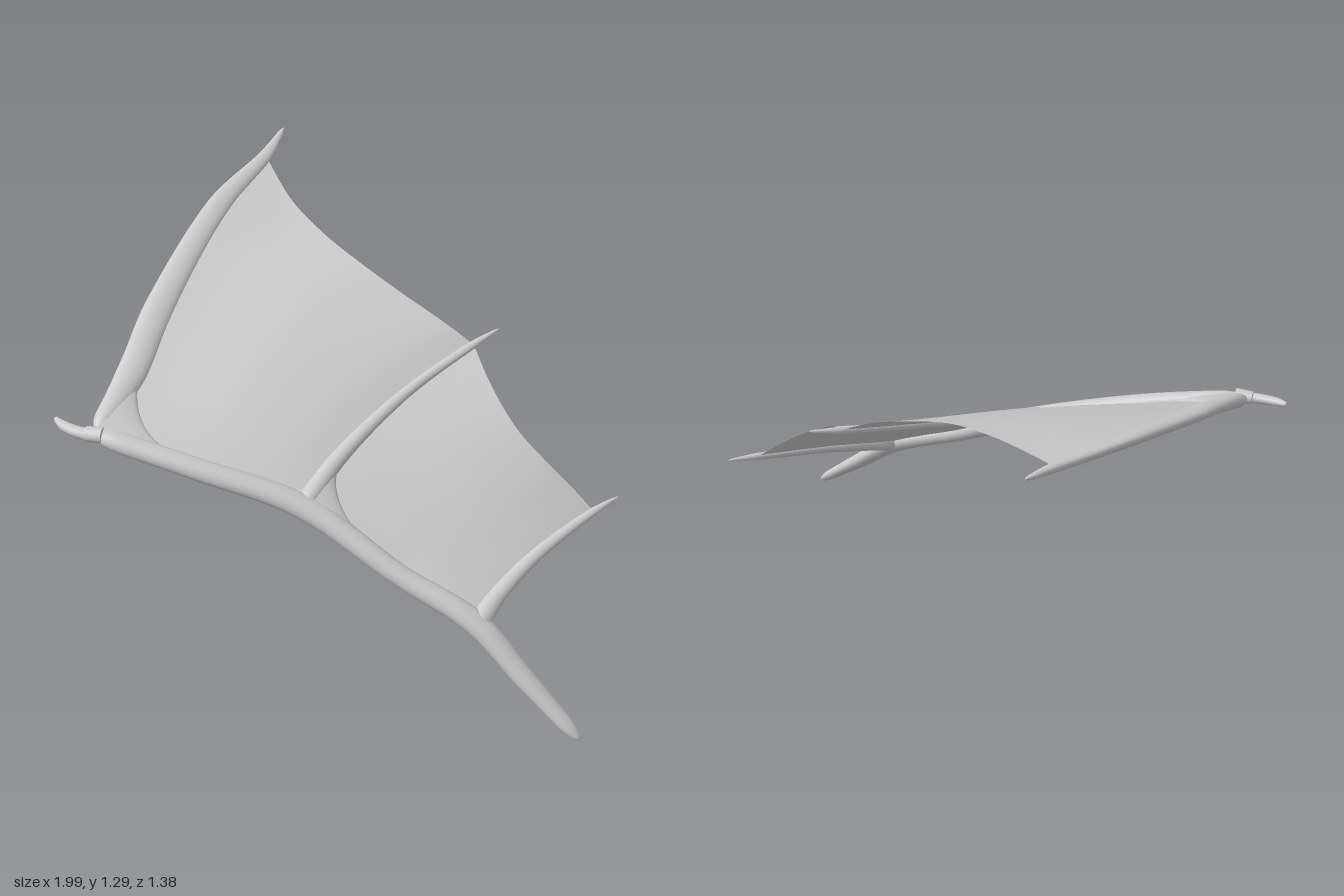
import * as THREE from 'three';
import { mergeVertices } from 'three/addons/utils/BufferGeometryUtils.js';

const V = (x, y, z) => new THREE.Vector3(x, y, z);
const WING_NORMAL = V(0.5, 0.83, 0.2).normalize();

// Smooth mesh over a grid of points given by fn(u, v)
function surface(name, nu, nv, fn, side = THREE.FrontSide) {
  const positions = [], index = [];
  for (let i = 0; i <= nu; i++)
    for (let j = 0; j <= nv; j++) positions.push(...fn(i / nu, j / nv).toArray());
  for (let i = 0; i < nu; i++)
    for (let j = 0; j < nv; j++) {
      const a = i * (nv + 1) + j, b = a + nv + 1;
      index.push(a, b, a + 1, b, b + 1, a + 1);
    }
  let geometry = new THREE.BufferGeometry();
  geometry.setAttribute('position', new THREE.Float32BufferAttribute(positions, 3));
  geometry.setIndex(index);
  geometry = mergeVertices(geometry, 1e-5);
  geometry.computeVertexNormals();
  const mesh = new THREE.Mesh(geometry, new THREE.MeshStandardMaterial({ color: 0xcccccc, side }));
  mesh.name = name;
  return mesh;
}

const spline = (points) => new THREE.CatmullRomCurve3(points.map((p) => V(p[0], p[1], p[2])));

// Tapered bone with an oval section; each point is [x, y, z, half width, half thickness]
function limb(name, points) {
  const curve = spline(points);
  const size = (t) => {
    const f = t * (points.length - 1), i = Math.min(Math.floor(f), points.length - 2);
    const mix = (k) => THREE.MathUtils.lerp(points[i][k], points[i + 1][k], f - i);
    const end = Math.min(1, Math.min(t, 1 - t) / 0.05);
    const round = Math.sqrt(Math.max(0, 1 - (1 - end) ** 2));
    return [mix(3) * round, mix(4) * round];
  };
  return surface(name, 64, 20, (u, v) => {
    // ease the samples so both ends are finely rounded
    const t = (1 - Math.cos(Math.PI * u)) / 2;
    const tangent = curve.getTangent(t);
    const wide = tangent.clone().cross(WING_NORMAL).normalize();
    const thick = wide.clone().cross(tangent);
    const [w, h] = size(t), a = (v % 1) * Math.PI * 2;
    return curve.getPoint(t).addScaledVector(wide, w * Math.cos(a)).addScaledVector(thick, h * Math.sin(a));
  });
}

// Patch blended between four edge curves
function patch(arm, trail, left, right) {
  const [c00, c10, c01, c11] = [arm(0), arm(1), trail(0), trail(1)];
  return (u, v) => V(0, 0, 0)
    .addScaledVector(arm(u), 1 - v).addScaledVector(trail(u), v)
    .addScaledVector(left(v), 1 - u).addScaledVector(right(v), u)
    .addScaledVector(c00, -(1 - u) * (1 - v)).addScaledVector(c10, -u * (1 - v))
    .addScaledVector(c01, -(1 - u) * v).addScaledVector(c11, -u * v);
}

// Thick rounded flesh filling the corner of a patch, reaching a along u and b along v
function cornerWeb(name, fn, a, b, thickness, fromRight = false) {
  return surface(name, 20, 16, (t, s) => {
    const k = Math.sin(Math.PI * s);
    const u = k * a * (1 - t) ** 2, v = k * b * t ** 2;
    return fn(fromRight ? 1 - u : u, v).addScaledVector(WING_NORMAL, thickness * Math.cos(Math.PI * s));
  }, THREE.DoubleSide);
}

export function createModel() {
  const wing = new THREE.Group();
  wing.name = 'wing';

  // Bones: the membrane ends at the second last point of each finger
  const armPoints = [
    [-0.44, 0.8, 0.625, 0.035, 0.026], [-0.17, 0.715, 0.435, 0.038, 0.03],
    [0.1, 0.61, 0.225, 0.042, 0.032], [0.4, 0.44, 0.09, 0.036, 0.032],
    [0.63, 0.32, -0.025, 0.042, 0.032], [0.8, 0.175, -0.075, 0.036, 0.026],
    [0.99, 0.012, -0.135, 0.024, 0.016]];
  const leadingPoints = [
    [-0.44, 0.8, 0.61, 0.03, 0.024], [-0.53, 0.89, 0.4, 0.05, 0.024],
    [-0.66, 1.0, 0.18, 0.05, 0.021], [-0.86, 1.175, -0.25, 0.04, 0.018],
    [-0.94, 1.25, -0.53, 0.024, 0.014], [-1, 1.3, -0.67, 0.007, 0.006]];
  const middlePoints = [
    [0.1, 0.61, 0.225, 0.034, 0.028], [0.06, 0.695, 0.03, 0.027, 0.021],
    [0.036, 0.795, -0.28, 0.019, 0.016], [0.053, 0.873, -0.58, 0.014, 0.012],
    [0.067, 0.9, -0.685, 0.004, 0.004]];
  const rearPoints = [
    [0.635, 0.32, -0.025, 0.036, 0.03], [0.612, 0.365, -0.14, 0.028, 0.022],
    [0.602, 0.425, -0.32, 0.022, 0.017], [0.615, 0.483, -0.58, 0.014, 0.012],
    [0.628, 0.5, -0.685, 0.004, 0.004]];
  wing.add(
    limb('armBone', armPoints), limb('leadingFinger', leadingPoints),
    limb('middleFinger', middlePoints), limb('rearFinger', rearPoints),
    limb('thumbCollar', [[-0.41, 0.8, 0.61, 0.026, 0.024], [-0.458, 0.8, 0.643, 0.026, 0.02]]),
    limb('thumbClaw', [
      [-0.42, 0.797, 0.62, 0.022, 0.018], [-0.48, 0.802, 0.657, 0.02, 0.016],
      [-0.53, 0.81, 0.674, 0.017, 0.014], [-0.572, 0.82, 0.676, 0.007, 0.007]]));

  // Edge curves shared by the bones and the membranes
  const arm = spline(armPoints);
  const armSpan = (from, to) => (u) => arm.getPoint((from + (to - from) * u) / (armPoints.length - 1));
  const finger = (points) => {
    const curve = spline(points);
    return (v) => curve.getPoint((v * (points.length - 2)) / (points.length - 1));
  };
  const leading = finger(leadingPoints), middle = finger(middlePoints), rear = finger(rearPoints);
  const trailing = (left, mids, right) => {
    const curve = spline([left(1).toArray(), ...mids, right(1).toArray()]);
    return (u) => curve.getPoint(u);
  };

  // Membranes with scalloped trailing edges
  const outer = patch(armSpan(0, 2), trailing(leading, [
    [-0.73, 1.165, -0.47], [-0.54, 1.11, -0.45], [-0.36, 1.06, -0.457],
    [-0.2, 1.0, -0.49], [-0.04, 0.93, -0.54]], middle), leading, middle);
  const inner = patch(armSpan(2, 4), trailing(middle, [
    [0.16, 0.815, -0.535], [0.26, 0.755, -0.507], [0.35, 0.695, -0.5],
    [0.45, 0.625, -0.52], [0.54, 0.55, -0.555]], rear), middle, rear);
  wing.add(
    surface('outerMembrane', 40, 30, outer, THREE.DoubleSide),
    surface('innerMembrane', 40, 30, inner, THREE.DoubleSide));

  // Fleshy webs where the fingers join the arm
  const heel = (u, v) => armSpan(4, 6)(u).add(rear(v)).sub(rear(0));
  wing.add(
    cornerWeb('wristWeb', outer, 0.6, 0.45, 0.022),
    cornerWeb('middleOuterWeb', outer, 0.3, 0.25, 0.02, true),
    cornerWeb('middleInnerWeb', inner, 0.6, 0.45, 0.022),
    cornerWeb('rearInnerWeb', inner, 0.3, 0.25, 0.022, true),
    cornerWeb('heelWeb', heel, 0.4, 0.35, 0.022));
  return wing;
}
